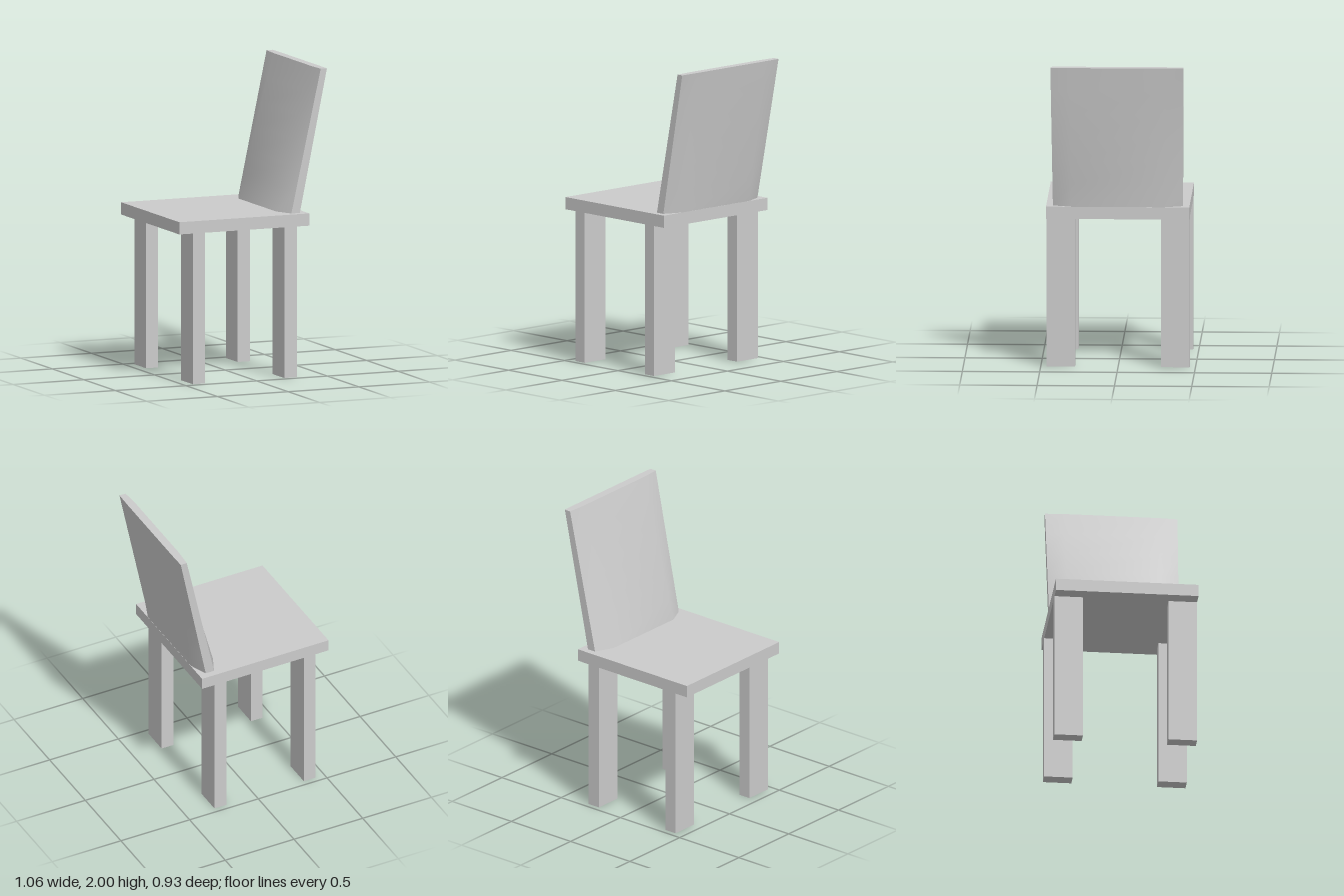
import * as THREE from 'three';
import { toCreasedNormals } from 'three/addons/utils/BufferGeometryUtils.js';

const material = new THREE.MeshStandardMaterial({ color: 0xcccccc });

function addBox(group, name, [x0, x1], [y0, y1], [z0, z1]) {
  const mesh = new THREE.Mesh(new THREE.BoxGeometry(x1 - x0, y1 - y0, z1 - z0), material);
  mesh.position.set((x0 + x1) / 2, (y0 + y1) / 2, (z0 + z1) / 2);
  mesh.name = name;
  group.add(mesh);
}

// Leaning backrest: an eight-sided foot with chamfered ends lofted to a thin straight top edge
function backrestGeometry() {
  const foot = [[0.225, -0.3], [0.225, 0.3], [0.28, 0.42], [0.34, 0.42],
    [0.388, 0.3], [0.388, -0.3], [0.34, -0.42], [0.28, -0.42]];
  const top = [[0.476, -0.31], [0.476, 0.31], [0.484, 0.43], [0.528, 0.43],
    [0.53, 0.31], [0.53, -0.31], [0.528, -0.43], [0.484, -0.43]];
  const rows = 6, n = foot.length, y0 = 1.06, y1 = 2;
  const positions = [], index = [];
  for (let r = 0; r <= rows; r++) {
    const t = r / rows;
    for (let i = 0; i < n; i++) {
      positions.push(
        THREE.MathUtils.lerp(foot[i][0], top[i][0], t),
        THREE.MathUtils.lerp(y0, y1, t),
        THREE.MathUtils.lerp(foot[i][1], top[i][1], t));
    }
  }
  for (let r = 0; r < rows; r++) {
    for (let i = 0; i < n; i++) {
      const a = r * n + i, b = r * n + (i + 1) % n;
      index.push(a, b, b + n, a, b + n, a + n);
    }
  }
  // Flat top edge
  const last = rows * n;
  for (let i = 1; i < n - 1; i++) index.push(last, last + i, last + i + 1);

  const geometry = new THREE.BufferGeometry();
  geometry.setAttribute('position', new THREE.Float32BufferAttribute(positions, 3));
  geometry.setIndex(index);
  return toCreasedNormals(geometry, 0.9);
}

export function createModel() {
  const chair = new THREE.Group();
  chair.name = 'chair';

  // Seat slab
  addBox(chair, 'seat', [-0.53, 0.39], [0.985, 1.065], [-0.463, 0.463]);

  // Backrest
  const backrest = new THREE.Mesh(backrestGeometry(), material);
  backrest.name = 'backrest';
  chair.add(backrest);

  // Four plank legs, flush with the sides of the seat
  for (const [side, z] of [['Left', [0.278, 0.463]], ['Right', [-0.463, -0.278]]]) {
    addBox(chair, `frontLeg${side}`, [-0.435, -0.35], [0, 0.985], z);
    addBox(chair, `rearLeg${side}`, [0.212, 0.3], [0, 0.985], z);
  }
  return chair;
}
